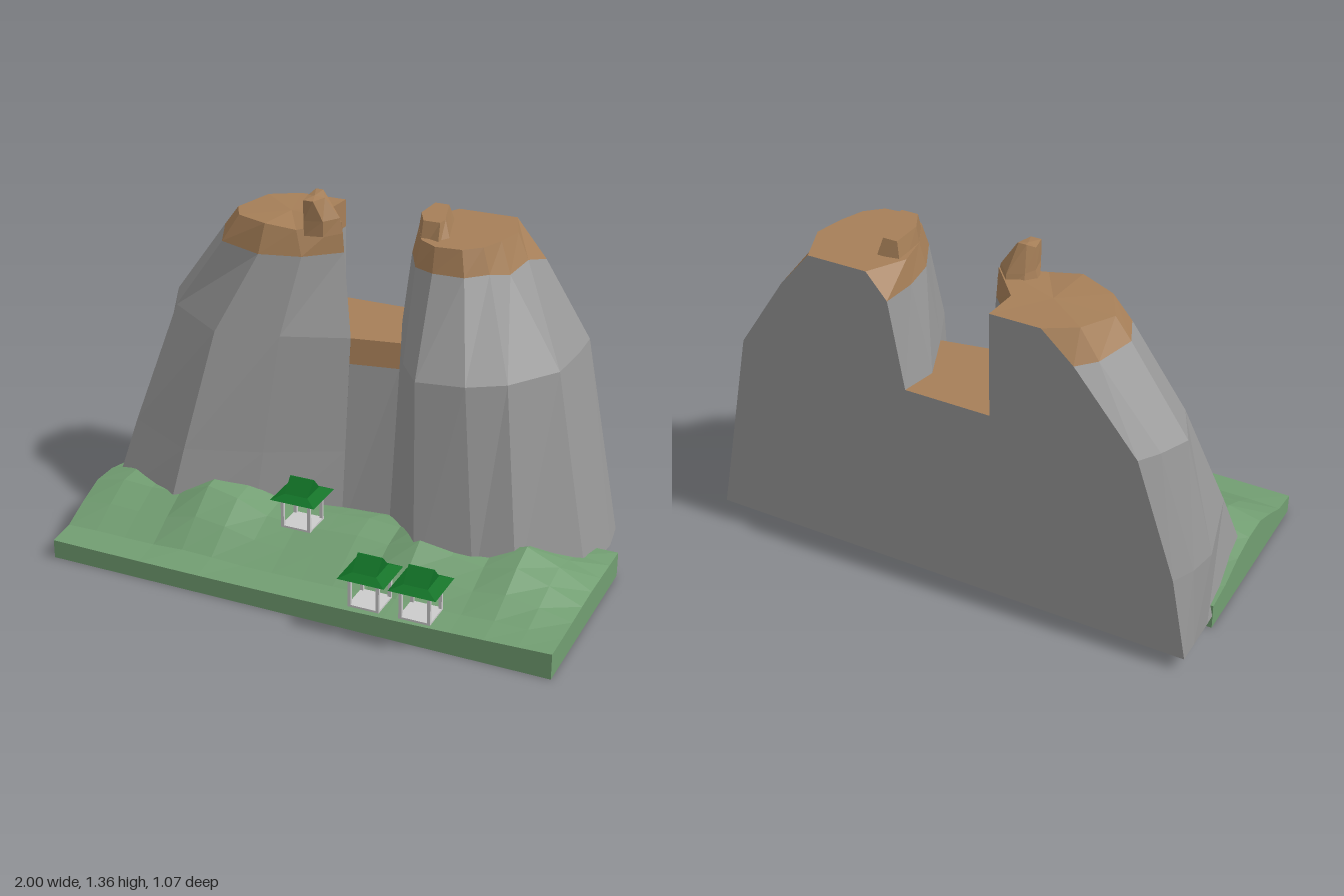
import * as THREE from 'three';

const mat = (color) => new THREE.MeshStandardMaterial({ color, flatShading: true });
const ROCK = mat(0x979797), EARTH = mat(0xa67f58), GRASS = mat(0x729e72);
const ROOF = mat(0x107226), PLASTER = mat(0xcccccc);
const BACK = -0.535, FOOT = 0.055;

// Flat-shaded geometry from a list of triangle corners
function facets(points) {
  const g = new THREE.BufferGeometry().setFromPoints(points);
  g.computeVertexNormals();
  return g;
}

function add(parent, name, geometry, material, x = 0, y = 0, z = 0) {
  const m = new THREE.Mesh(geometry, material);
  m.name = name;
  m.position.set(x, y, z);
  parent.add(m);
  return m;
}

// Ring of corners running left, front, right; a corner may override the height
const ring = (y, pts) => pts.map(([x, z, own = y]) => new THREE.Vector3(x, own, z));

// Skin through rings; closed rings wrap round, caps are fans
function loft(rings, { closed = false, top = false, bottom = false } = {}) {
  const out = [], n = rings[0].length;
  for (let k = 0; k + 1 < rings.length; k++) {
    const lo = rings[k], hi = rings[k + 1];
    for (let i = 0; i < (closed ? n : n - 1); i++) {
      const j = (i + 1) % n;
      out.push(lo[i], lo[j], hi[j], lo[i], hi[j], hi[i]);
    }
  }
  const fan = (r, up) => {
    const c = r.reduce((s, p) => s.add(p), new THREE.Vector3()).divideScalar(n);
    r.forEach((p, i) => {
      const q = r[(i + 1) % n];
      out.push(c, up ? p : q, up ? q : p);
    });
  };
  if (top) fan(rings[rings.length - 1], true);
  if (bottom) fan(rings[0], false);
  return facets(out);
}

// Grey body below, brown band and top above
function cliff(parent, name, rings) {
  const g = new THREE.Group();
  g.name = name;
  parent.add(g);
  add(g, name + 'Body', loft(rings.slice(0, -1), { bottom: true }), ROCK);
  add(g, name + 'Top', loft(rings.slice(-2), { top: true }), EARTH);
}

function createCliffs(parent) {
  const left = [
    ring(FOOT, [[-1, BACK], [-1, -0.45], [-1, -0.33], [-0.99, 0.07], [-0.67, 0.215], [-0.35, 0.09], [-0.05, -0.08], [-0.23, -0.4], [-0.23, BACK]]),
    ring(0.38, [[-0.94, BACK], [-0.98, -0.45], [-1, -0.34], [-0.92, -0.035], [-0.62, 0.125], [-0.33, 0.025], [-0.05, -0.115], [-0.24, -0.4], [-0.235, BACK]]),
    ring(0.83, [[-0.79, BACK], [-0.84, -0.46], [-0.89, -0.35], [-0.81, -0.19], [-0.545, -0.01], [-0.3, -0.07], [-0.05, -0.165], [-0.25, -0.4], [-0.24, BACK]]),
    ring(1.125, [[-0.55, BACK], [-0.61, -0.47], [-0.66, -0.33, 1.14], [-0.6, -0.19], [-0.41, -0.12], [-0.25, -0.16], [-0.125, -0.27], [-0.25, -0.4], [-0.24, BACK]]),
    ring(1.235, [[-0.43, BACK], [-0.54, -0.47], [-0.6, -0.33, 1.22], [-0.54, -0.22, 1.23], [-0.4, -0.16], [-0.28, -0.18, 1.22], [-0.135, -0.27, 1.245], [-0.25, -0.4], [-0.24, BACK]]),
  ];
  const right = [
    ring(FOOT, [[0.09, BACK], [0.08, -0.4], [0.14, -0.1], [0.25, 0.04], [0.36, 0.178], [0.58, 0.14], [0.73, 0.09], [0.915, -0.15], [0.935, -0.4], [0.915, BACK]]),
    ring(0.83, [[0.09, BACK], [0.06, -0.4], [0.14, -0.2], [0.22, -0.03], [0.32, 0.1], [0.5, 0.07], [0.63, -0.01], [0.76, -0.2], [0.77, -0.4], [0.765, BACK]]),
    ring(1.17, [[0.15, BACK], [0.135, -0.4], [0.15, -0.27], [0.22, -0.13], [0.3, -0.095], [0.42, -0.1], [0.49, -0.17], [0.54, -0.25, 1.15], [0.565, -0.37], [0.58, BACK, 1.12]]),
    ring(1.265, [[0.23, BACK], [0.15, -0.4], [0.17, -0.28], [0.23, -0.16], [0.3, -0.115], [0.4, -0.125], [0.46, -0.18], [0.495, -0.27], [0.52, -0.38], [0.46, BACK]]),
  ];
  const saddleTop = [[-0.3, BACK], [-0.3, -0.35], [-0.05, -0.165], [0.14, -0.2], [0.2, -0.32], [0.2, BACK]];
  const saddle = [
    ring(FOOT, [[-0.3, BACK], [-0.3, -0.3], [-0.05, -0.08], [0.14, -0.1], [0.2, -0.3], [0.2, BACK]]),
    ring(0.73, saddleTop.map(([x, z]) => [x, z > -0.3 ? z + 0.012 : z])),
    ring(0.83, saddleTop),
  ];
  cliff(parent, 'leftCliff', left);
  cliff(parent, 'rightCliff', right);
  cliff(parent, 'saddle', saddle);

  // Flat back wall following the ends of the rings
  const first = (rings) => rings.map((r) => r[0]);
  const last = (rings) => rings.map((r) => r[r.length - 1]);
  const outline = [
    ...first(left), ...last(left).slice(2).reverse(),
    ...first(right).slice(1), ...last(right).reverse(),
  ].map((p) => new THREE.Vector2(-p.x, p.y));
  const wall = new THREE.ShapeGeometry(new THREE.Shape(outline)).rotateY(Math.PI);
  add(parent, 'backWall', wall, ROCK, 0, 0, BACK);

  // Small crags on the summits
  const leftCrag = [
    ring(1.2, [[-0.28, -0.25], [-0.25, -0.185], [-0.18, -0.2], [-0.13, -0.27], [-0.19, -0.33], [-0.25, -0.31]]),
    ring(1.26, [[-0.265, -0.25], [-0.25, -0.18], [-0.18, -0.2], [-0.14, -0.265], [-0.19, -0.32], [-0.245, -0.29]]),
    ring(1.34, [[-0.26, -0.24], [-0.25, -0.18], [-0.21, -0.18], [-0.19, -0.24], [-0.21, -0.27, 1.36], [-0.24, -0.27, 1.36]]),
  ];
  const rightCrag = [
    ring(1.2, [[0.16, -0.42], [0.16, -0.28], [0.22, -0.16], [0.3, -0.13], [0.34, -0.2], [0.31, -0.3], [0.27, -0.44]]),
    ring(1.325, [[0.185, -0.4], [0.18, -0.28], [0.22, -0.2], [0.285, -0.2], [0.29, -0.24], [0.27, -0.3], [0.24, -0.4]]),
  ];
  add(parent, 'leftCrag', loft(leftCrag, { closed: true, top: true }), EARTH);
  add(parent, 'rightCrag', loft(rightCrag, { closed: true, top: true }), EARTH);
}

// Slab whose top rises to a wavy ridge
function createGround(parent) {
  const crest = [0.18, 0.21, 0.205, 0.215, 0.275, 0.25, 0.2, 0.19, 0.2, 0.21, 0.2, 0.26, 0.22, 0.2, 0.235, 0.18, 0.11];
  const leftRise = [0, 0.4, 0.8, 1, 1, 0.6, 0.12, 0];
  const rightRise = [0, 0.25, 0.65, 1, 0.75, 0.4, 0.1, 0];
  const g = new THREE.BoxGeometry(2, 1, 0.765, 16, 1, 7).translate(0, 0.5, 0.1025);
  const p = g.attributes.position;
  for (let i = 0; i < p.count; i++) {
    if (p.getY(i) < 0.5) continue;
    const x = p.getX(i);
    const col = Math.round((x + 1) * 8), row = Math.round(((p.getZ(i) + 0.28) / 0.765) * 7);
    const edge = row === 0 ? 0.1 : 0.087 + 0.013 * x - 0.012 * Math.cos(x * 1.6);
    const rise = THREE.MathUtils.lerp(leftRise[row], rightRise[row], (x + 1) / 2);
    p.setY(i, THREE.MathUtils.lerp(edge, crest[col], rise));
  }
  const flat = g.toNonIndexed();
  flat.computeVertexNormals();
  add(parent, 'ground', flat, GRASS);
}

// Open pavilion with a hip-and-gable roof
function createPavilion(x, y, z) {
  const g = new THREE.Group();
  g.name = 'pavilion';
  g.position.set(x, y, z);
  const square = (h, w, d) => ring(h, [[-w, -d], [-w, d], [w, d], [w, -d]]);
  add(g, 'floor', new THREE.BoxGeometry(0.12, 0.008, 0.12), PLASTER, 0, 0.004, 0);
  for (const s of [-1, 1]) {
    for (const t of [-1, 1]) add(g, 'post', new THREE.BoxGeometry(0.012, 0.12, 0.012), PLASTER, s * 0.054, 0.06, t * 0.054);
    add(g, 'beam', new THREE.BoxGeometry(0.12, 0.01, 0.012), PLASTER, 0, 0.115, s * 0.054);
    add(g, 'beam', new THREE.BoxGeometry(0.012, 0.01, 0.12), PLASTER, s * 0.054, 0.115, 0);
  }
  const roof = [square(0, 0.09, 0.088), square(0.018, 0.046, 0.052), square(0.07, 0.048, 0.002)];
  add(g, 'roof', loft(roof, { closed: true, top: true, bottom: true }), ROOF, 0, 0.12, 0);
  return g;
}

export function createModel() {
  const model = new THREE.Group();
  model.name = 'cliffLandscape';
  createGround(model);
  createCliffs(model);
  for (const [x, y, z] of [[-0.1, 0.195, 0.16], [0.305, 0.112, 0.447], [0.5, 0.112, 0.447]]) {
    model.add(createPavilion(x, y, z));
  }
  return model;
}
